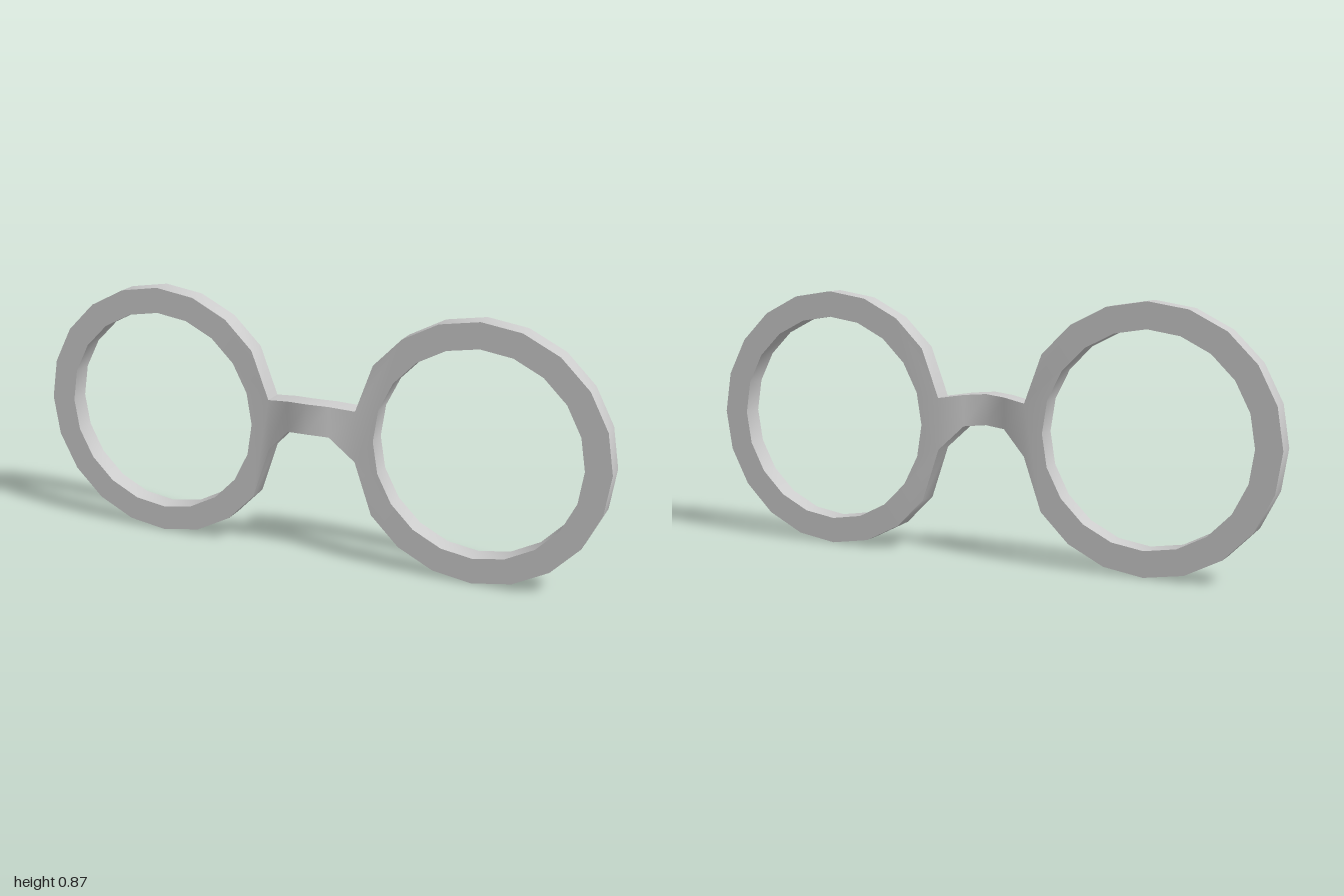
import * as THREE from 'three';
import { mergeGeometries, toCreasedNormals } from 'three/addons/utils/BufferGeometryUtils.js';

const CX = 0.566, CY = 0.434, OUTER = 0.434, INNER = 0.348, SIDES = 20;
const BACK = -0.055, DEPTH = 0.07;
const JOIN_X = 0.155, JOIN_TOP = 0.528, JOIN_BOTTOM = 0.355;

// Corners of a 20-sided ring on one side of the frame
function ringPoints(radius, side) {
  const points = [];
  for (let i = 0; i < SIDES; i++) {
    const a = (i / SIDES) * Math.PI * 2;
    points.push(new THREE.Vector2(side * (CX + radius * Math.cos(a)), CY + radius * Math.sin(a)));
  }
  return points;
}

// Round rim, with the corners next to the nose drawn out to meet the bridge
function rimGeometry(side) {
  const outer = ringPoints(OUTER, side);
  outer[9].set(side * JOIN_X, JOIN_TOP);
  outer[11].set(side * JOIN_X, JOIN_BOTTOM);
  outer.splice(10, 1);
  // Keep the outline anticlockwise on both sides so the hole walls face inwards
  if (side < 0) outer.reverse();
  const shape = new THREE.Shape(outer);
  shape.holes.push(new THREE.Path(ringPoints(INNER, side)));
  const geometry = new THREE.ExtrudeGeometry(shape, { depth: DEPTH, bevelEnabled: false });
  return geometry.translate(0, 0, BACK);
}

// Bridge: a segmented bar bowed forward, flaring down where it meets the rims
function bridgeGeometry() {
  const stations = [ // x, bottom, top, forward offset from the middle outwards
    [0, 0.442, 0.545, 0.042],
    [0.073, 0.436, 0.54, 0.024],
    [JOIN_X, JOIN_BOTTOM, JOIN_TOP, 0],
  ];
  const geometry = new THREE.BoxGeometry(4, 1, 1, 4, 1, 1);
  const p = geometry.attributes.position;
  for (let i = 0; i < p.count; i++) {
    const column = Math.round(p.getX(i));
    const [x, bottom, top, forward] = stations[Math.abs(column)];
    p.setXYZ(i,
      Math.sign(column) * x,
      p.getY(i) > 0 ? top : bottom,
      BACK + forward + (p.getZ(i) > 0 ? DEPTH : 0));
  }
  return geometry.toNonIndexed();
}

// Join the parts into one piece: drop the walls hidden in the joints, smooth across them
function joinParts(parts) {
  const p = mergeGeometries(parts).attributes.position;
  const kept = [];
  for (let i = 0; i < p.count; i += 3) {
    const corners = [i, i + 1, i + 2];
    if (corners.every((c) => Math.abs(Math.abs(p.getX(c)) - JOIN_X) < 1e-4)) continue;
    for (const c of corners) kept.push(p.getX(c), p.getY(c), p.getZ(c));
  }
  const geometry = new THREE.BufferGeometry();
  geometry.setAttribute('position', new THREE.Float32BufferAttribute(kept, 3));
  return toCreasedNormals(geometry, 0.8);
}

export function createModel() {
  const model = new THREE.Group();
  model.name = 'glasses';
  const frame = new THREE.Mesh(
    joinParts([rimGeometry(1), rimGeometry(-1), bridgeGeometry()]),
    new THREE.MeshStandardMaterial({ color: 0xcccccc }));
  frame.name = 'frame';
  model.add(frame);
  return model;
}
